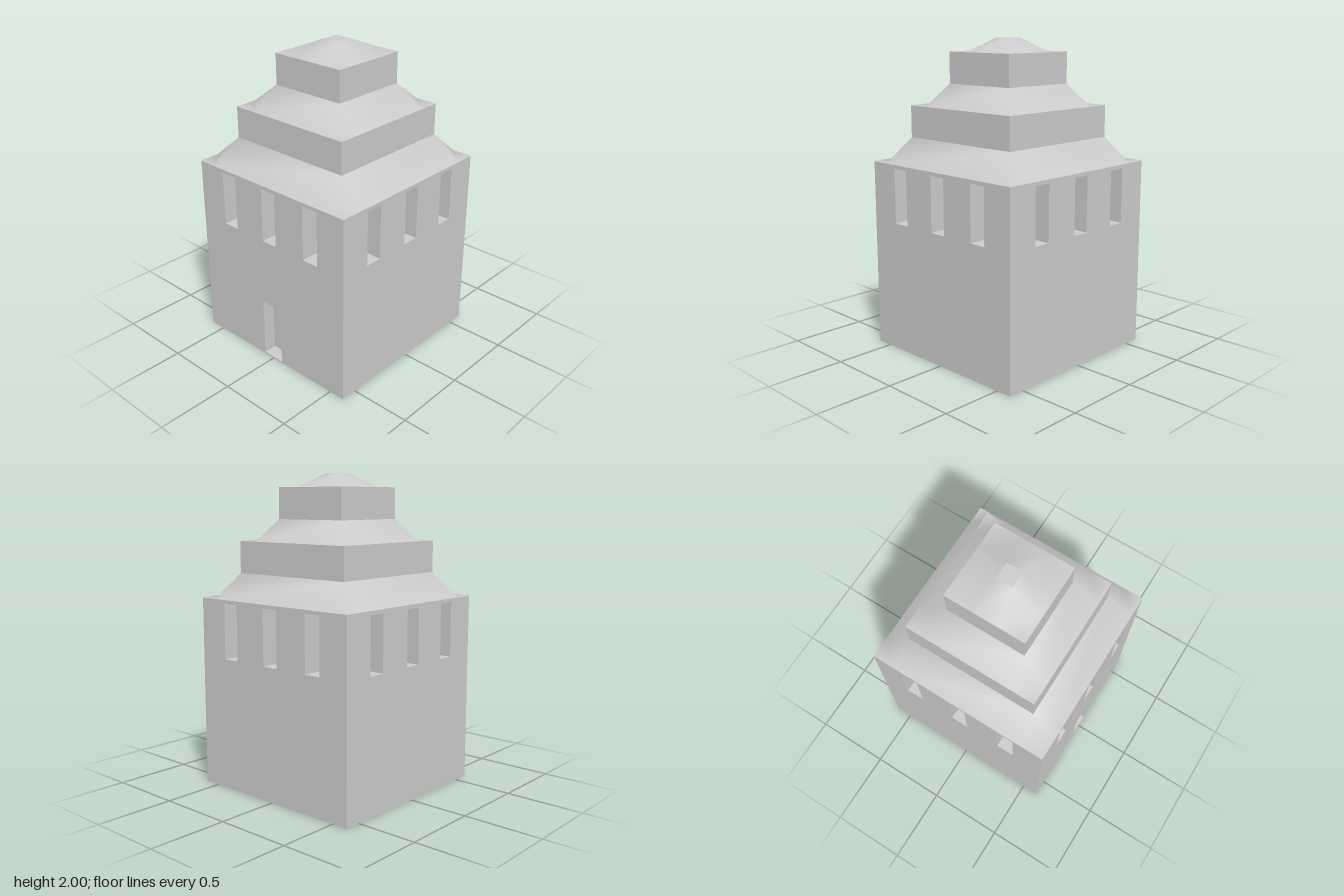
import * as THREE from 'three';

const material = new THREE.MeshStandardMaterial({ color: 0xcccccc });

function add(parent, name, geometry, x = 0, y = 0, z = 0) {
  const mesh = new THREE.Mesh(geometry, material);
  mesh.name = name;
  mesh.position.set(x, y, z);
  parent.add(mesh);
  return mesh;
}

// Clockwise rectangular opening for a wall
function opening(x, halfWidth, bottom, top) {
  const path = new THREE.Path();
  path.moveTo(x - halfWidth, bottom);
  path.lineTo(x - halfWidth, top);
  path.lineTo(x + halfWidth, top);
  path.lineTo(x + halfWidth, bottom);
  path.closePath();
  return path;
}

// Wall slab with three tall windows, and optionally a doorway
function wallGeometry(half, height, depth, hasDoor) {
  const shape = new THREE.Shape();
  shape.moveTo(-half, 0);
  shape.lineTo(half, 0);
  shape.lineTo(half, height);
  shape.lineTo(-half, height);
  shape.closePath();
  for (const x of [-0.345, 0, 0.345]) shape.holes.push(opening(x, 0.057, 0.845, 1.197));
  if (hasDoor) shape.holes.push(opening(0, 0.077, 0.01, 0.4));
  return new THREE.ExtrudeGeometry(shape, { depth, bevelEnabled: false });
}

// Smooth sloping roof: square eaves with flat corner triangles, rising to a smaller square
function roofGeometry(half, cut, topHalf, height) {
  const positions = [], index = [];
  const sector = [[cut, half, 0], [half, half, 0], [half, cut, 0], [topHalf, topHalf, height]];
  for (let k = 0; k < 4; k++) {
    for (const p of sector) {
      positions.push(p[0], p[2], p[1]);
      [p[0], p[1]] = [p[1], -p[0]];
    }
    const a = k * 4, b = ((k + 1) % 4) * 4;
    index.push(a, a + 1, a + 2, a, a + 2, a + 3); // flat corner and hip
    index.push(a + 2, b, b + 3, a + 2, b + 3, a + 3); // main slope
  }
  // Flat cap with its own corners
  for (const p of [[1, 1], [1, -1], [-1, -1], [-1, 1]]) positions.push(p[0] * topHalf, height, p[1] * topHalf);
  index.push(16, 17, 18, 16, 18, 19);
  const geometry = new THREE.BufferGeometry();
  geometry.setAttribute('position', new THREE.Float32BufferAttribute(positions, 3));
  geometry.setIndex(index);
  geometry.computeVertexNormals();
  return geometry;
}

export function createModel() {
  const model = new THREE.Group();
  model.name = 'tower';

  const half = 0.607, bodyHeight = 1.22, wall = 0.2, inner = half - wall;

  // Solid core closes the backs of the windows
  add(model, 'core', new THREE.BoxGeometry(inner * 2, bodyHeight, inner * 2), 0, bodyHeight / 2, 0);

  // Four walls; the front and back cover the corners
  ['frontWall', 'leftWall', 'backWall', 'rightWall'].forEach((name, i) => {
    const side = new THREE.Group();
    side.name = name;
    side.rotation.y = i * Math.PI / 2;
    add(side, name + 'Slab', wallGeometry(i % 2 ? inner : half, bodyHeight, wall, i === 0), 0, 0, inner);
    model.add(side);
  });

  // Door panel set back in its doorway
  add(model, 'door', new THREE.BoxGeometry(0.154, 0.39, 0.1), 0, 0.205, half - 0.085 - 0.05);

  // Stepped roofs and the square storeys between them
  const roofs = [
    { name: 'lowerRoof', half, cut: 0.47, top: 0.435, y: 1.223, height: 0.152 },
    { name: 'middleRoof', half: 0.435, cut: 0.285, top: 0.26, y: 1.58, height: 0.135 },
    { name: 'topRoof', half: 0.26, cut: 0.085, top: 0.053, y: 1.915, height: 0.085 },
  ];
  roofs.forEach((r, i) => {
    add(model, r.name, roofGeometry(r.half, r.cut, r.top, r.height), 0, r.y, 0);
    if (i === 0) return;
    const below = roofs[i - 1], bottom = below.y + below.height, height = r.y - bottom - 0.002;
    add(model, i === 1 ? 'middleStorey' : 'topStorey',
      new THREE.BoxGeometry(r.half * 2, height, r.half * 2), 0, bottom + height / 2, 0);
  });
  return model;
}
